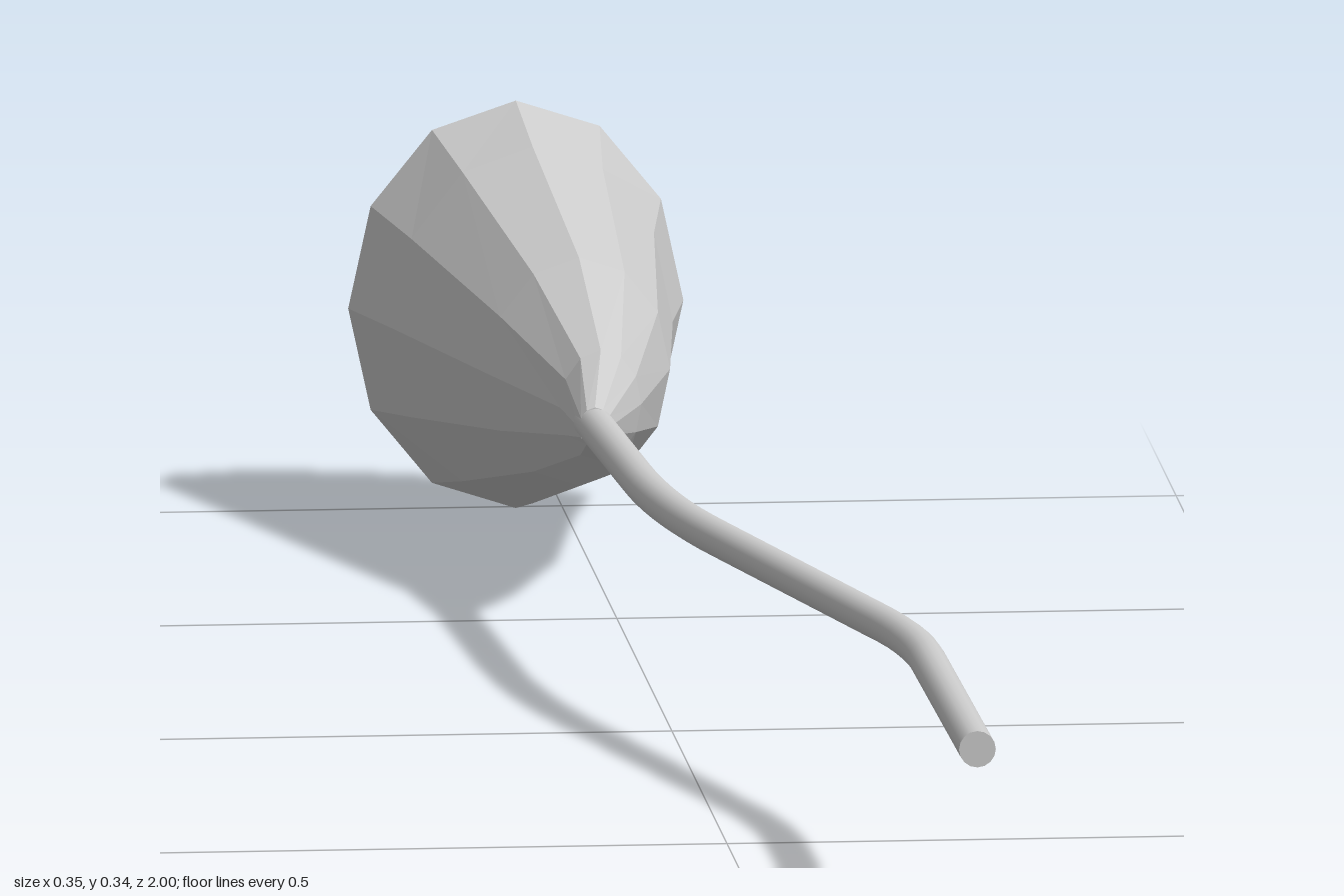
import * as THREE from 'three';

const AXIS_Y = 0.17;
const ROD_RADIUS = 0.015;
const v = (x, z) => new THREE.Vector3(x, AXIS_Y, z);

// Bent rod: straight runs joined by two soft bends
function createRod(material) {
  const group = new THREE.Group();
  group.name = 'rod';
  const path = new THREE.CurvePath();
  path.add(new THREE.LineCurve3(v(0.159, 1), v(0.154, 0.6)));
  path.add(new THREE.QuadraticBezierCurve3(v(0.154, 0.6), v(0.152, 0.51), v(0.127, 0.42)));
  path.add(new THREE.LineCurve3(v(0.127, 0.42), v(0.03, 0.04)));
  path.add(new THREE.QuadraticBezierCurve3(v(0.03, 0.04), v(0, -0.08), v(-0.008, -0.21)));
  path.add(new THREE.LineCurve3(v(-0.008, -0.21), v(-0.023, -0.47)));

  const shaft = new THREE.Mesh(new THREE.TubeGeometry(path, 48, ROD_RADIUS, 16), material);
  shaft.name = 'rodShaft';
  group.add(shaft);

  // Flat caps on both ends
  for (const [t, sign] of [[0, -1], [1, 1]]) {
    const cap = new THREE.Mesh(new THREE.CircleGeometry(ROD_RADIUS, 16), material);
    cap.name = t ? 'rodInnerCap' : 'rodEndCap';
    const p = path.getPointAt(t);
    cap.position.copy(p);
    cap.lookAt(p.clone().addScaledVector(path.getTangentAt(t), sign));
    group.add(cap);
  }
  return group;
}

// Faceted horn: a 12-sided cylinder whose rings follow the side outlines
function createHorn(material) {
  // each ring: low-x edge [x, z], high-x edge [x, z], half height
  const rings = [
    [[-0.036, -0.445], [-0.009, -0.45], 0.016],
    [[-0.043, -0.535], [0.024, -0.545], 0.046],
    [[-0.088, -0.688], [0.061, -0.697], 0.094],
    [[-0.147, -0.895], [0.082, -0.907], 0.147],
    [[-0.175, -0.987], [0.099, -1.0], 0.168],
  ];
  const steps = rings.length - 1;
  const geometry = new THREE.CylinderGeometry(1, 1, steps, 12, steps);
  const pos = geometry.attributes.position;
  for (let i = 0; i < pos.count; i++) {
    const [low, high, half] = rings[Math.round(pos.getY(i) + steps / 2)];
    const t = (pos.getX(i) + 1) / 2;
    pos.setXYZ(
      i,
      THREE.MathUtils.lerp(low[0], high[0], t),
      AXIS_Y + pos.getZ(i) * half,
      THREE.MathUtils.lerp(low[1], high[1], t),
    );
  }
  geometry.computeVertexNormals();
  const horn = new THREE.Mesh(geometry, material);
  horn.name = 'horn';
  return horn;
}

export function createModel() {
  const model = new THREE.Group();
  model.name = 'hornOnRod';
  const smooth = new THREE.MeshStandardMaterial({ color: 0xcccccc });
  const faceted = new THREE.MeshStandardMaterial({ color: 0xcccccc, flatShading: true });
  model.add(createRod(smooth), createHorn(faceted));
  return model;
}
